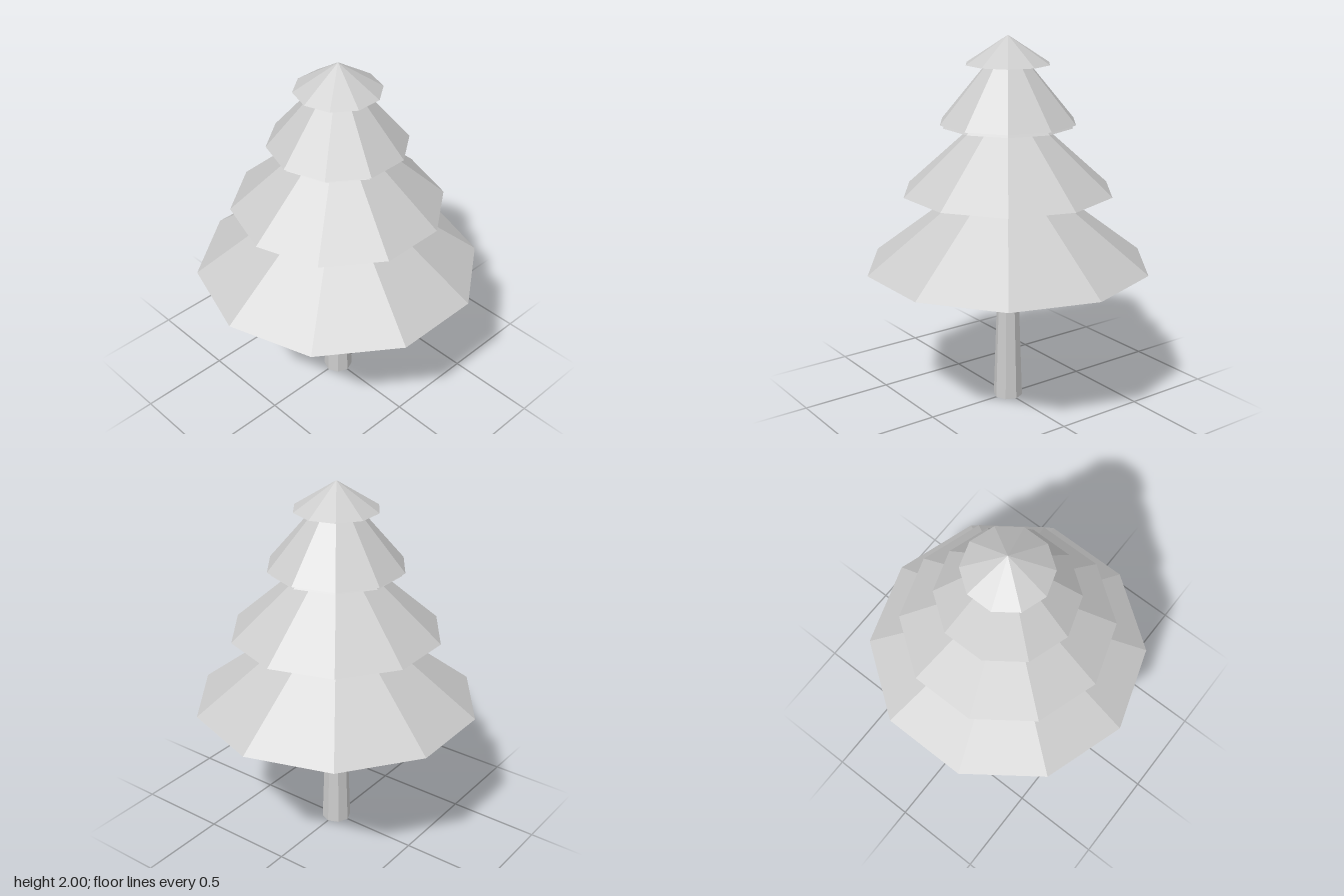
import * as THREE from 'three';

// Foliage cones from bottom to top: [name, base height, base radius, apex height]
const TIERS = [
  ['bottomBranches', 0.78, 0.77, 1.37],
  ['lowerInnerBranches', 1.178, 0.475, 1.55],
  ['lowerBranches', 1.185, 0.567, 1.695],
  ['upperInnerBranches', 1.535, 0.35, 1.9],
  ['upperBranches', 1.552, 0.367, 1.99],
  ['treetop', 1.853, 0.226, 2.0],
];

export function createModel() {
  const tree = new THREE.Group();
  tree.name = 'coniferTree';
  const material = new THREE.MeshStandardMaterial({ color: 0xcccccc, flatShading: true });

  const add = (name, geometry, y) => {
    const mesh = new THREE.Mesh(geometry, material);
    mesh.name = name;
    mesh.position.y = y;
    tree.add(mesh);
  };

  // Tapered eight-sided trunk, running slightly into the foliage
  const trunkHeight = 0.8;
  add('trunk', new THREE.CylinderGeometry(0.053, 0.08, trunkHeight, 8), trunkHeight / 2);

  // Closed ten-sided cones with a corner on the x axis
  for (const [name, base, radius, apex] of TIERS) {
    const cone = new THREE.ConeGeometry(radius, apex - base, 10, 1, false, Math.PI / 2);
    add(name, cone, (base + apex) / 2);
  }

  return tree;
}
